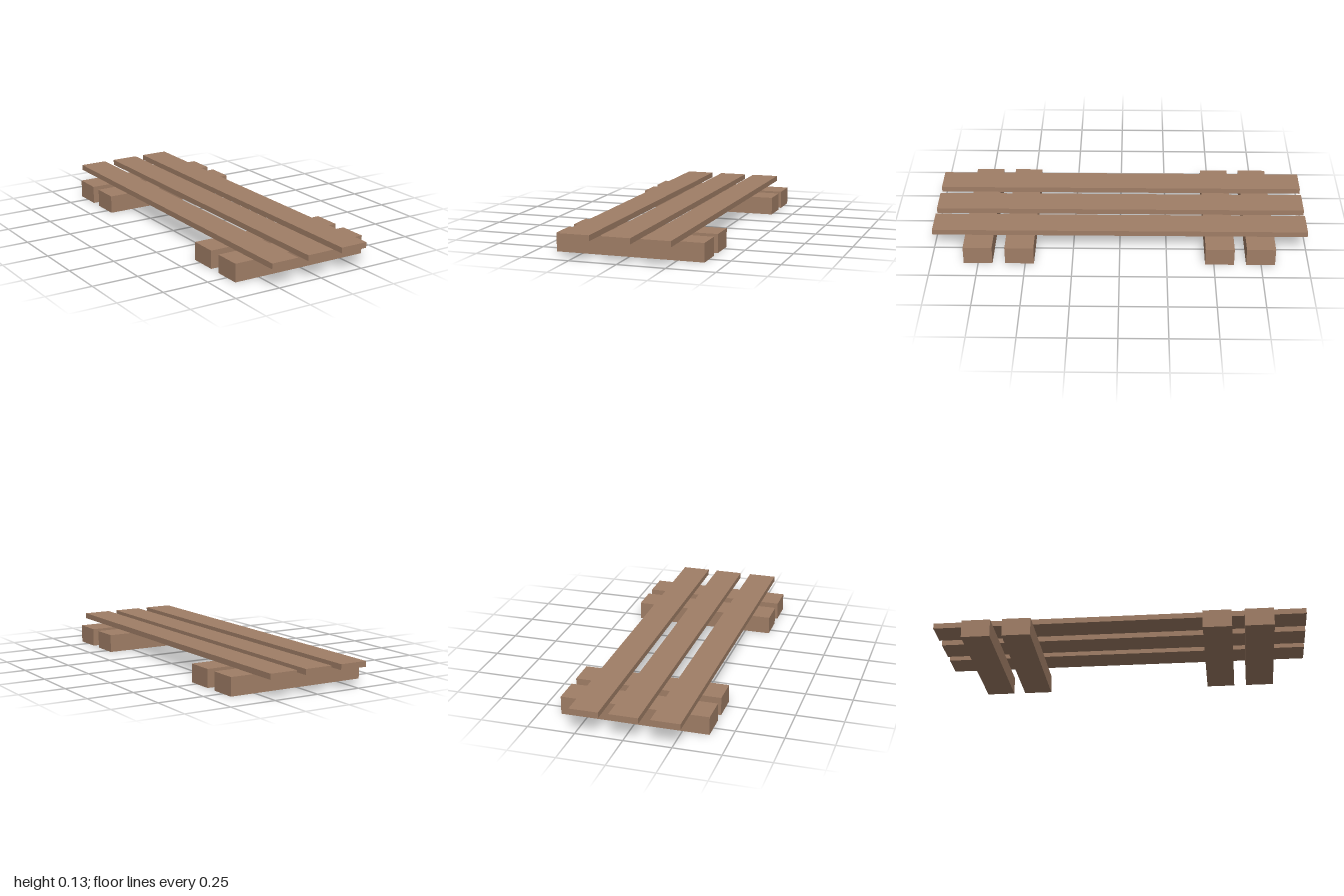
import * as THREE from 'three';

export function createModel() {
  const model = new THREE.Group();
  model.name = 'slattedPallet';
  const wood = new THREE.MeshStandardMaterial({ color: 0xa07e66 });
  wood.name = 'brown wood';

  function addBoard(name, w, h, d, x, bottom, z) {
    const board = new THREE.Mesh(new THREE.BoxGeometry(w, h, d), wood);
    board.name = name;
    board.position.set(x, bottom + h / 2, z);
    model.add(board);
  }

  // Crosswise bearers, in a pair near each end
  for (const z of [-0.747, -0.53, 0.53, 0.75]) {
    addBoard('bearer', 0.778, 0.097, 0.153, 0, 0, z);
  }

  // Long top planks, floating slightly above the bearers
  for (const x of [-0.217, -0.004, 0.201]) {
    addBoard('plank', 0.153, 0.03, 2, x, 0.104, 0);
  }

  return model;
}
